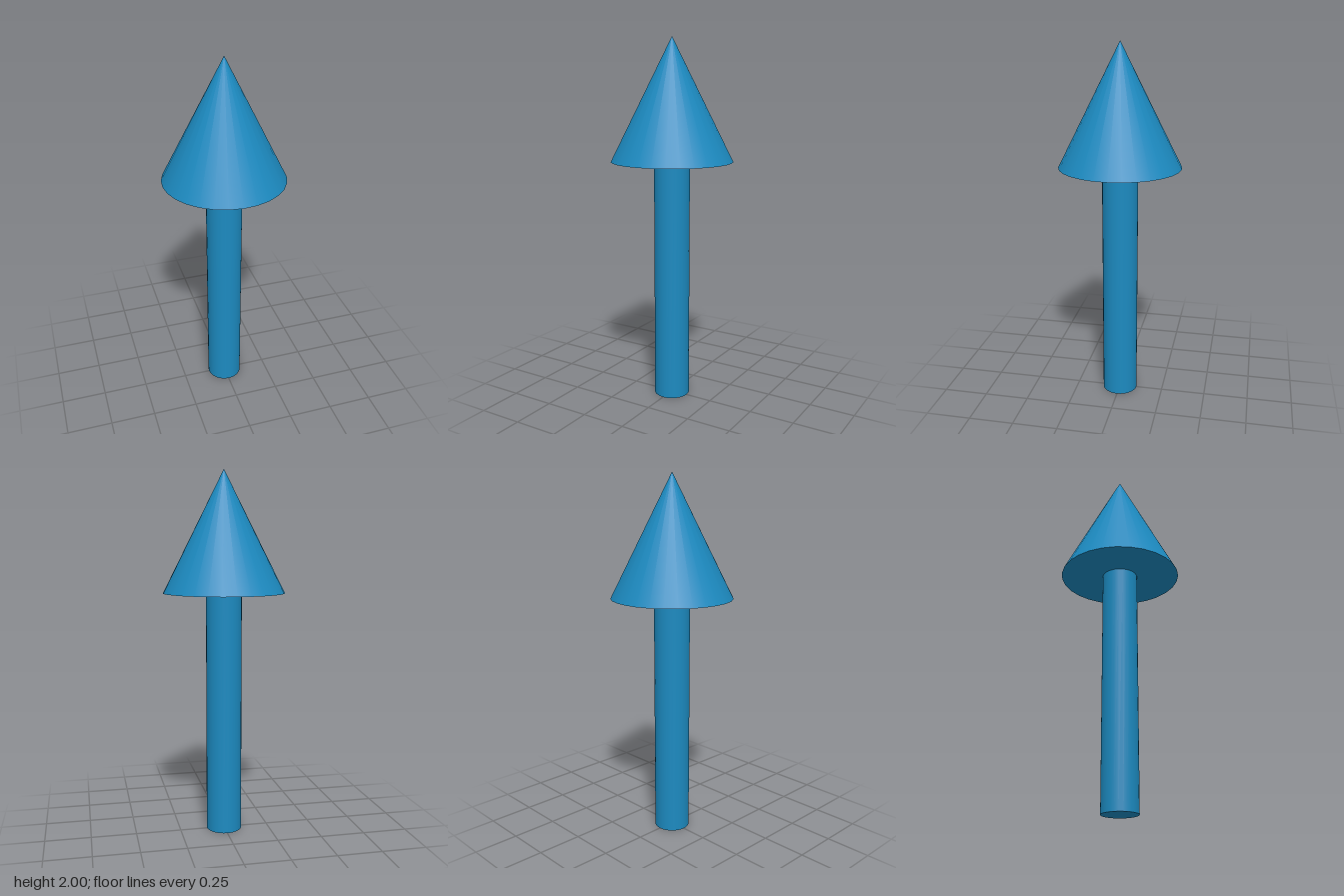
import * as THREE from 'three';

export function createModel() {
  const group = new THREE.Group();
  group.name = 'arrow';
  const material = new THREE.MeshStandardMaterial({ color: 0x1c8ac0 });
  const sides = 28;
  const headBase = 1.34;
  const headHeight = 2 - headBase;

  // Round shaft standing on the ground
  const shaft = new THREE.Mesh(new THREE.CylinderGeometry(0.098, 0.098, headBase, sides), material);
  shaft.name = 'shaft';
  shaft.position.y = headBase / 2;

  // Pointed head with a flat underside
  const head = new THREE.Mesh(new THREE.ConeGeometry(0.333, headHeight, sides), material);
  head.name = 'arrowHead';
  head.position.y = headBase + headHeight / 2;

  group.add(shaft, head);
  return group;
}
